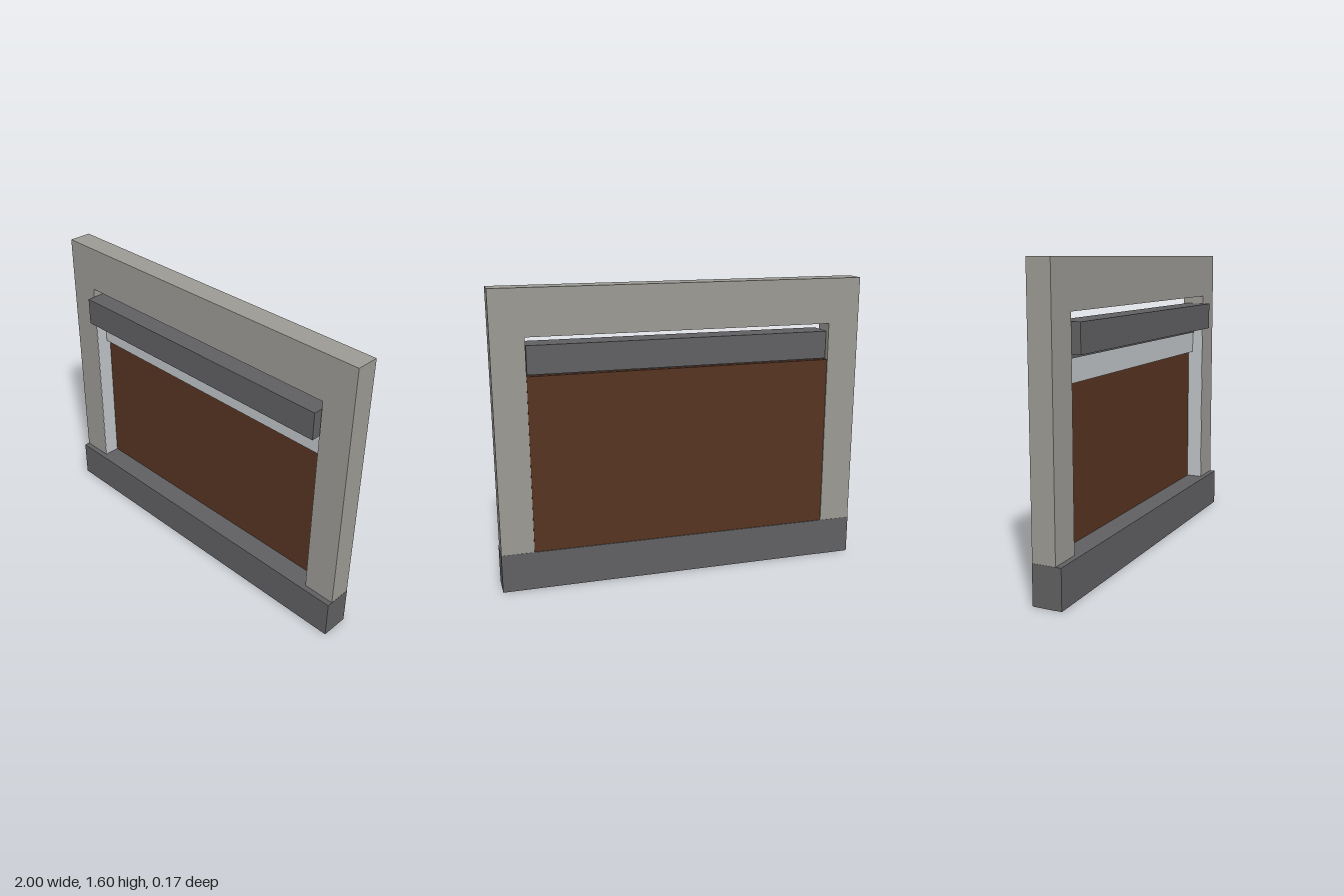
import * as THREE from 'three';

export function createModel() {
  const group = new THREE.Group();
  const material = (name, color) => {
    const m = new THREE.MeshStandardMaterial({ color });
    m.name = name;
    return m;
  };
  const stone = material('warm grey stone', 0x9c9a94);
  const dark = material('dark grey', 0x606062);
  const brown = material('brown', 0x573422);
  const pale = material('pale grey', 0xc0c4c8);

  // Box given by its limits on each axis
  const addBox = (name, mat, [x0, x1], [y0, y1], [z0, z1]) => {
    const mesh = new THREE.Mesh(new THREE.BoxGeometry(x1 - x0, y1 - y0, z1 - z0), mat);
    mesh.name = name;
    mesh.position.set((x0 + x1) / 2, (y0 + y1) / 2, (z0 + z1) / 2);
    group.add(mesh);
  };

  // Wall surround: an upside-down U, open at the bottom
  const outline = [[-0.999, 0], [-0.825, 0], [-0.825, 1.355], [0.825, 1.355],
    [0.825, 0], [0.999, 0], [0.999, 1.6], [-0.999, 1.6]];
  const shape = new THREE.Shape(outline.map(([x, y]) => new THREE.Vector2(x, y)));
  const surround = new THREE.Mesh(
    new THREE.ExtrudeGeometry(shape, { depth: 0.124, bevelEnabled: false }), stone);
  surround.name = 'surround';
  surround.position.z = -0.084;
  group.add(surround);

  // Plinth across the whole width
  addBox('plinth', dark, [-1, 1], [0.001, 0.21], [-0.085, 0.07]);

  // Back panel reaching down through the plinth
  addBox('backPanel', brown, [-0.824, 0.824], [0, 1.155], [-0.08, -0.05]);

  // Projecting header box, with a rail and a pale strip beneath it
  addBox('header', dark, [-0.82, 0.82], [1.16, 1.31], [-0.063, 0.085]);
  addBox('headerRail', dark, [-0.824, 0.824], [1.13, 1.16], [-0.05, -0.015]);
  addBox('paleStrip', pale, [-0.815, 0.815], [1.01, 1.13], [-0.05, -0.02]);

  // Thin linings on the sides of the opening
  for (const s of [-1, 1]) {
    addBox(s > 0 ? 'leftLining' : 'rightLining', pale,
      s > 0 ? [0.822, 0.826] : [-0.826, -0.822], [0.21, 1.16], [-0.05, 0.039]);
  }
  return group;
}
